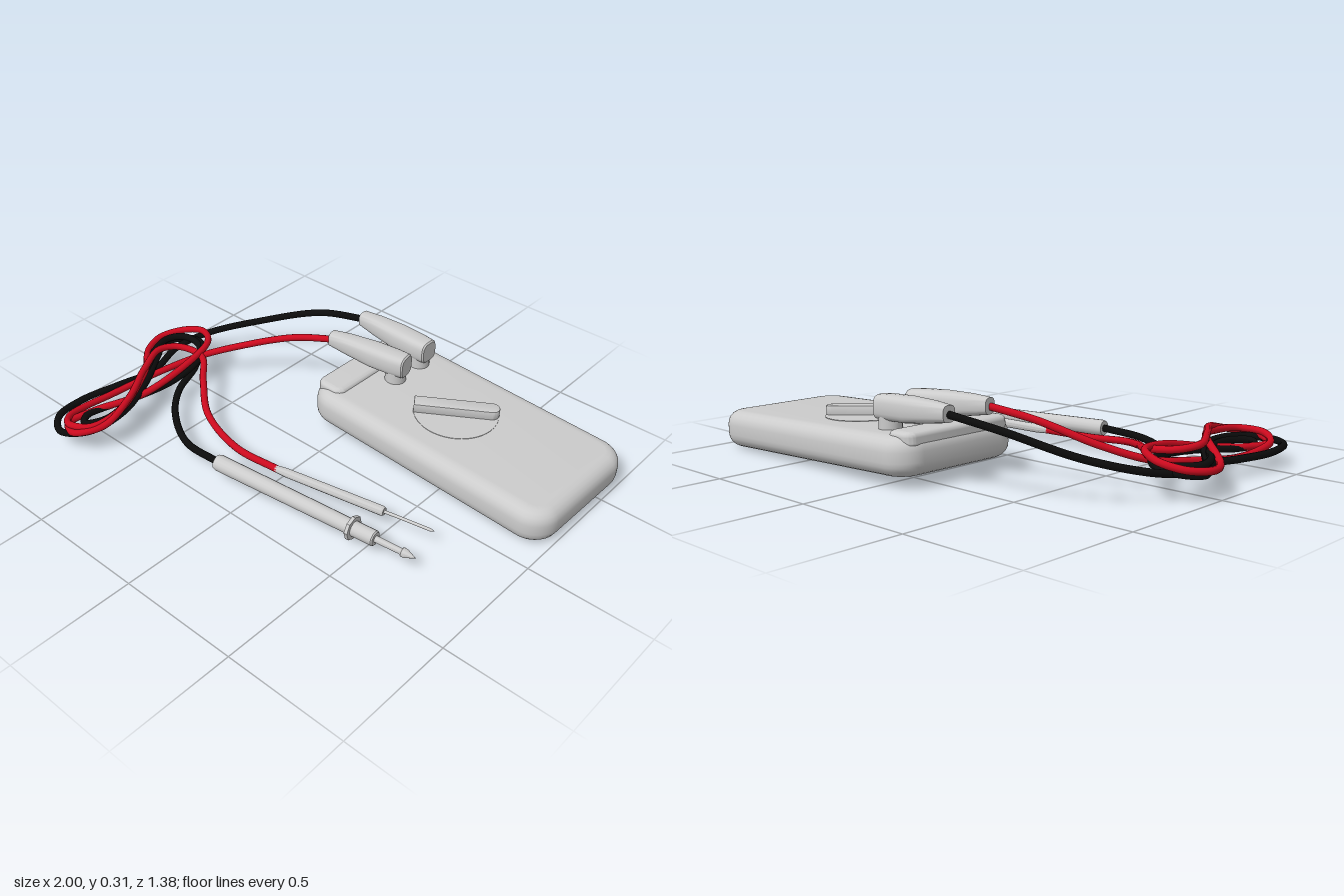
import * as THREE from 'three';
import { toCreasedNormals } from 'three/addons/utils/BufferGeometryUtils.js';

const grey = new THREE.MeshStandardMaterial({ color: 0xcccccc });
const red = new THREE.MeshStandardMaterial({ color: 0xcc0a1e });
const black = new THREE.MeshStandardMaterial({ color: 0x0c0c0c });

function part(name, geometry, material = grey, crease = 0.6) {
  const mesh = new THREE.Mesh(toCreasedNormals(geometry, crease), material);
  mesh.name = name;
  return mesh;
}

// Rounded slab centred on the origin, lying flat, with bevelled rims
function slab(length, width, height, corner, bevel) {
  const x = length / 2 - bevel, y = width / 2 - bevel, r = corner - bevel;
  const s = new THREE.Shape();
  s.moveTo(-x + r, -y);
  s.lineTo(x - r, -y).absarc(x - r, -y + r, r, -Math.PI / 2, 0);
  s.lineTo(x, y - r).absarc(x - r, y - r, r, 0, Math.PI / 2);
  s.lineTo(-x + r, y).absarc(-x + r, y - r, r, Math.PI / 2, Math.PI);
  s.lineTo(-x, -y + r).absarc(-x + r, -y + r, r, Math.PI, Math.PI * 1.5);
  const depth = height - 2 * bevel;
  const g = new THREE.ExtrudeGeometry(s, {
    depth, bevelSize: bevel, bevelThickness: bevel, bevelSegments: 5, curveSegments: 6,
  });
  return g.translate(0, 0, -depth / 2).rotateX(-Math.PI / 2);
}

// Solid through squarish cross-sections [x, centreY, halfHeight, halfWidth]
function loft(sections, n = 24) {
  const pos = [], idx = [];
  const soft = (v) => Math.sign(v) * Math.abs(v) ** 0.65;
  for (const [x, cy, hy, hz] of sections)
    for (let j = 0; j < n; j++) {
      const a = (j / n) * Math.PI * 2;
      pos.push(x, cy + hy * soft(Math.cos(a)), hz * soft(Math.sin(a)));
    }
  for (let i = 0; i < sections.length - 1; i++)
    for (let j = 0; j < n; j++) {
      const a = i * n + j, b = i * n + (j + 1) % n;
      idx.push(a, b, a + n, b, b + n, a + n);
    }
  const last = (sections.length - 1) * n;
  for (let j = 1; j < n - 1; j++) idx.push(0, j + 1, j, last, last + j, last + j + 1);
  const g = new THREE.BufferGeometry();
  g.setAttribute('position', new THREE.Float32BufferAttribute(pos, 3));
  g.setIndex(idx);
  return g;
}

// Elbow plug: tapered sleeve with a round pin going down into the meter
function plug(name, z, turn) {
  const g = new THREE.Group();
  g.name = name;
  g.add(part('plugSleeve', loft([
    [-0.18, 0.278, 0.031, 0.029], [-0.1, 0.275, 0.04, 0.039], [0.02, 0.268, 0.049, 0.049],
    [0.12, 0.264, 0.049, 0.049], [0.172, 0.262, 0.047, 0.045], [0.178, 0.262, 0.042, 0.04],
  ])));
  const pin = part('plugPin', new THREE.CylinderGeometry(0.044, 0.044, 0.1, 20));
  pin.position.set(0.127, 0.2, 0);
  g.add(pin);
  g.position.set(-0.062, 0, z);
  g.rotation.y = turn;
  return g;
}

// Turned probe laid from one point towards another; profile is [radius, distance]
function probe(name, from, to, profile, segments) {
  const g = new THREE.Group();
  g.name = name;
  const points = profile.map(([r, d]) => new THREE.Vector2(r, d));
  g.add(part(name + 'Shaft', new THREE.LatheGeometry(points, segments)));
  g.position.set(...from);
  const dir = new THREE.Vector3(...to).sub(g.position).normalize();
  g.quaternion.setFromUnitVectors(new THREE.Vector3(0, 1, 0), dir);
  return g;
}

function cable(name, points, material) {
  const curve = new THREE.CatmullRomCurve3(points.map((p) => new THREE.Vector3(...p)), false, 'centripetal');
  const mesh = new THREE.Mesh(new THREE.TubeGeometry(curve, 320, 0.0145, 10), material);
  mesh.name = name;
  return mesh;
}

export function createModel() {
  const model = new THREE.Group();
  model.name = 'meterWithTestLeads';

  // Meter, tilted slightly down towards its far end
  const meter = new THREE.Group();
  meter.name = 'meter';
  meter.position.set(0.418, 0.097, -0.39);
  meter.rotation.set(0, -0.016, -0.04);
  meter.add(part('case', slab(1.155, 0.595, 0.148, 0.11, 0.055)));
  const ridge = part('socketRidge', slab(0.13, 0.5, 0.06, 0.04, 0.02));
  ridge.position.set(-0.505, 0.06, 0);
  meter.add(ridge);
  const dial = part('dial', new THREE.CylinderGeometry(0.17, 0.17, 0.006, 48));
  dial.position.set(-0.043, 0.073, 0);
  meter.add(dial);

  // Pointer knob: a bar with one rounded end
  const bar = new THREE.Shape();
  bar.moveTo(-0.165, -0.027);
  bar.lineTo(0.14, -0.027).absarc(0.14, 0, 0.027, -Math.PI / 2, Math.PI / 2);
  bar.lineTo(-0.165, 0.027).closePath();
  const knob = part('knob', new THREE.ExtrudeGeometry(bar, {
    depth: 0.035, bevelSize: 0.004, bevelThickness: 0.004, bevelSegments: 2,
  }).rotateX(-Math.PI / 2));
  knob.position.set(-0.043, 0.074, 0);
  knob.rotation.y = 0.62;
  meter.add(knob);
  model.add(meter);

  // Plugs
  model.add(plug('blackPlug', -0.55, 0));
  model.add(plug('redPlug', -0.375, 0.17));

  // Large probe with finger guard and pointed tip
  const large = probe('largeProbe', [-0.185, 0.08, 0.385], [0.715, 0.071, 0.285], [
    [0, 0], [0.03, 0], [0.033, 0.01], [0.03, 0.62], [0.03, 0.73], [0.026, 0.735], [0.013, 0.735],
    [0.012, 0.84], [0.018, 0.85], [0.016, 0.865], [0, 0.905],
  ], 16);
  const guard = part('fingerGuard', new THREE.CylinderGeometry(0.048, 0.048, 0.014, 8));
  guard.position.y = 0.635;
  large.add(guard);
  model.add(large);

  // Slim probe with a needle
  model.add(probe('slimProbe', [0, 0.065, 0.25], [0.69, 0.088, 0.145], [
    [0, 0], [0.014, 0], [0.018, 0.05], [0.019, 0.48], [0.015, 0.487], [0.006, 0.487], [0.006, 0.68], [0, 0.697],
  ], 12));

  // Coiled cables
  model.add(cable('redCable', [
    [-0.22, 0.278, -0.345], [-0.40, 0.24, -0.28], [-0.61, 0.16, -0.17], [-0.74, 0.11, -0.05],
    [-0.80, 0.09, 0.11], [-0.85, 0.07, 0.35], [-0.84, 0.09, 0.58], [-0.77, 0.11, 0.64],
    [-0.68, 0.12, 0.60], [-0.67, 0.13, 0.46], [-0.77, 0.155, 0.24], [-0.95, 0.11, 0.06],
    [-0.983, 0.11, -0.04], [-0.94, 0.12, -0.13], [-0.85, 0.14, -0.163], [-0.745, 0.155, -0.10],
    [-0.70, 0.14, 0.08], [-0.72, 0.10, 0.30], [-0.80, 0.08, 0.48], [-0.815, 0.08, 0.61],
    [-0.72, 0.10, 0.655], [-0.648, 0.12, 0.56], [-0.68, 0.155, 0.40], [-0.78, 0.165, 0.23],
    [-0.85, 0.16, 0.08], [-0.81, 0.15, 0], [-0.70, 0.14, -0.02], [-0.585, 0.12, 0.08],
    [-0.425, 0.09, 0.205], [-0.21, 0.065, 0.26], [0.01, 0.065, 0.249],
  ], red));
  model.add(cable('blackCable', [
    [-0.22, 0.278, -0.552], [-0.45, 0.24, -0.505], [-0.69, 0.16, -0.37], [-0.85, 0.11, -0.20],
    [-0.89, 0.09, -0.05], [-0.84, 0.08, 0.14], [-0.875, 0.075, 0.30], [-0.905, 0.075, 0.47],
    [-0.88, 0.08, 0.61], [-0.79, 0.08, 0.67], [-0.695, 0.09, 0.60], [-0.685, 0.10, 0.43],
    [-0.76, 0.11, 0.25], [-0.88, 0.10, 0.08], [-0.955, 0.09, -0.04], [-0.90, 0.10, -0.12],
    [-0.81, 0.11, -0.12], [-0.73, 0.11, -0.03], [-0.70, 0.10, 0.14], [-0.73, 0.09, 0.30],
    [-0.78, 0.08, 0.42], [-0.80, 0.08, 0.53], [-0.755, 0.085, 0.575], [-0.71, 0.09, 0.50],
    [-0.735, 0.10, 0.35], [-0.81, 0.11, 0.20], [-0.91, 0.12, 0.06], [-0.935, 0.12, -0.04],
    [-0.89, 0.12, -0.10], [-0.80, 0.11, -0.10], [-0.72, 0.09, 0], [-0.66, 0.075, 0.15],
    [-0.555, 0.07, 0.27], [-0.37, 0.072, 0.375], [-0.175, 0.08, 0.384],
  ], black));
  return model;
}
